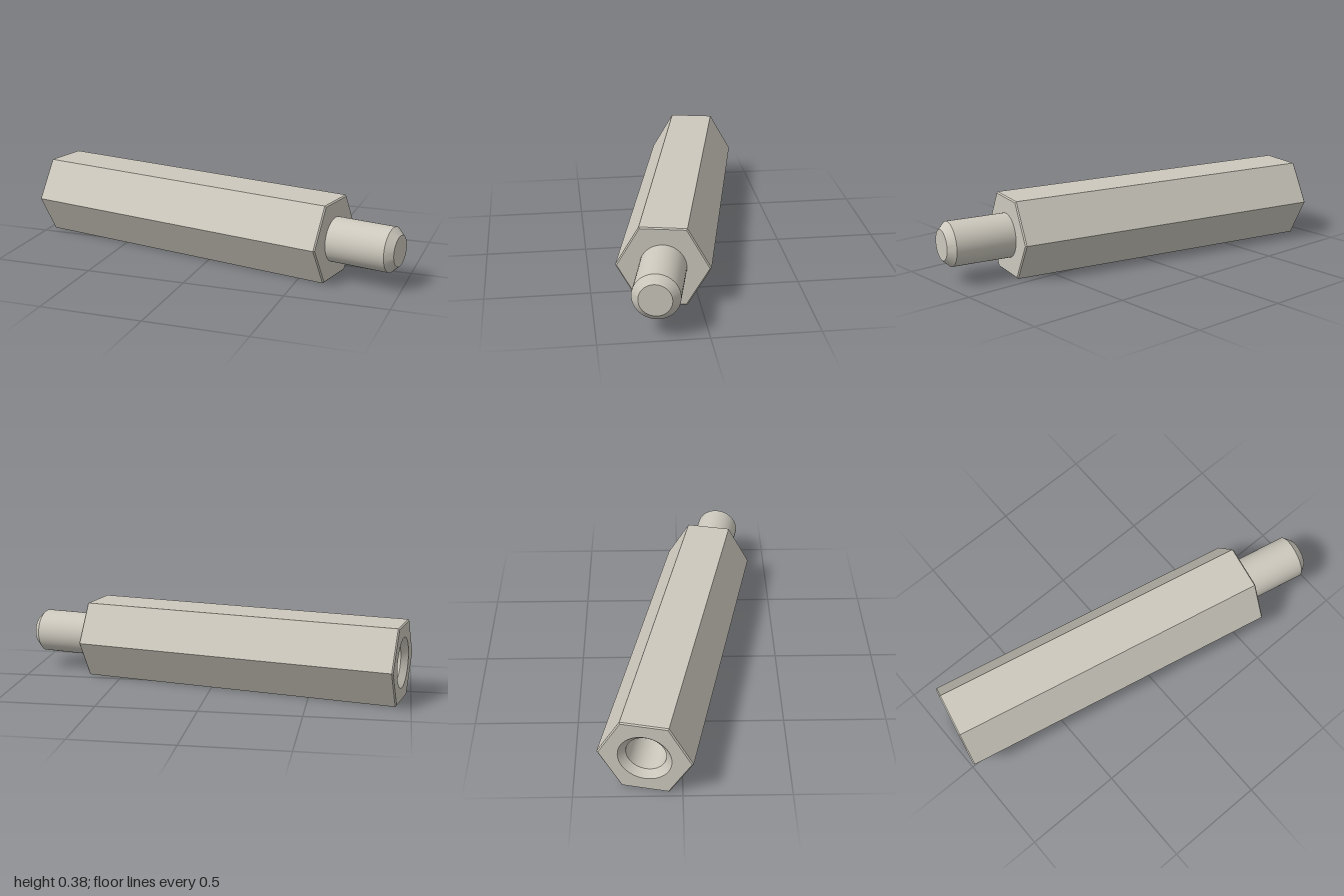
import * as THREE from 'three';
import { toCreasedNormals } from 'three/addons/utils/BufferGeometryUtils.js';

const APOTHEM = 0.1925;                        // half the width across flats
const R = APOTHEM / Math.cos(Math.PI / 6);     // hexagon corner radius
const LENGTH = 1.646;                          // hexagonal body
const STUD = 0.336;                            // stud beyond the body
const BEVEL = 0.006;
const HOLE_MOUTH = 0.125;

export function createModel() {
  const steel = new THREE.MeshStandardMaterial({ color: 0xccc8bd });
  steel.name = 'satin steel';

  const model = new THREE.Group();
  model.name = 'hexStandoff';

  // The part is built along +y from its open end, then laid on a flat and turned.
  const axis = new THREE.Group();
  axis.name = 'standoffAxis';
  axis.rotation.z = -Math.PI / 2;
  const turn = new THREE.Group();
  turn.name = 'standoff';
  turn.rotation.y = -THREE.MathUtils.degToRad(12);
  turn.position.set(-0.954, APOTHEM, -0.171);
  turn.add(axis);
  model.add(turn);

  const add = (name, geometry) => {
    const mesh = new THREE.Mesh(geometry, steel);
    mesh.name = name;
    axis.add(mesh);
    return mesh;
  };
  const lathe = (points, sides) => toCreasedNormals(
    new THREE.LatheGeometry(points.map(([r, y]) => new THREE.Vector2(r, y)), sides), 0.5);

  // Hexagonal body with finely bevelled end edges
  const faceR = R - BEVEL * R / APOTHEM;
  add('hexBody', lathe([[faceR, 0], [R, BEVEL], [R, LENGTH - BEVEL], [faceR, LENGTH]], 6));

  // End faces: a plain one round the stud, and one pierced by the hole
  const hexagon = () => new THREE.Shape(Array.from({ length: 6 }, (_, i) => {
    const a = i * Math.PI / 3;
    return new THREE.Vector2(faceR * Math.sin(a), faceR * Math.cos(a));
  }));
  add('studEndFace', new THREE.ShapeGeometry(hexagon()).rotateX(-Math.PI / 2).translate(0, LENGTH, 0));
  const pierced = hexagon();
  pierced.holes.push(new THREE.Path().absarc(0, 0, HOLE_MOUTH, 0, Math.PI * 2, true));
  add('holeEndFace', new THREE.ShapeGeometry(pierced, 24).rotateX(Math.PI / 2));

  // Blind hole with a countersunk mouth
  add('hole', lathe([[0, 0.55], [0.0935, 0.55], [0.0935, 0.031], [HOLE_MOUTH, 0]], 48));

  // Stud with a chamfered tip
  const tip = LENGTH + STUD;
  add('stud', lathe([[0.11, LENGTH], [0.11, tip - 0.036], [0.076, tip], [0, tip]], 48));

  return model;
}
